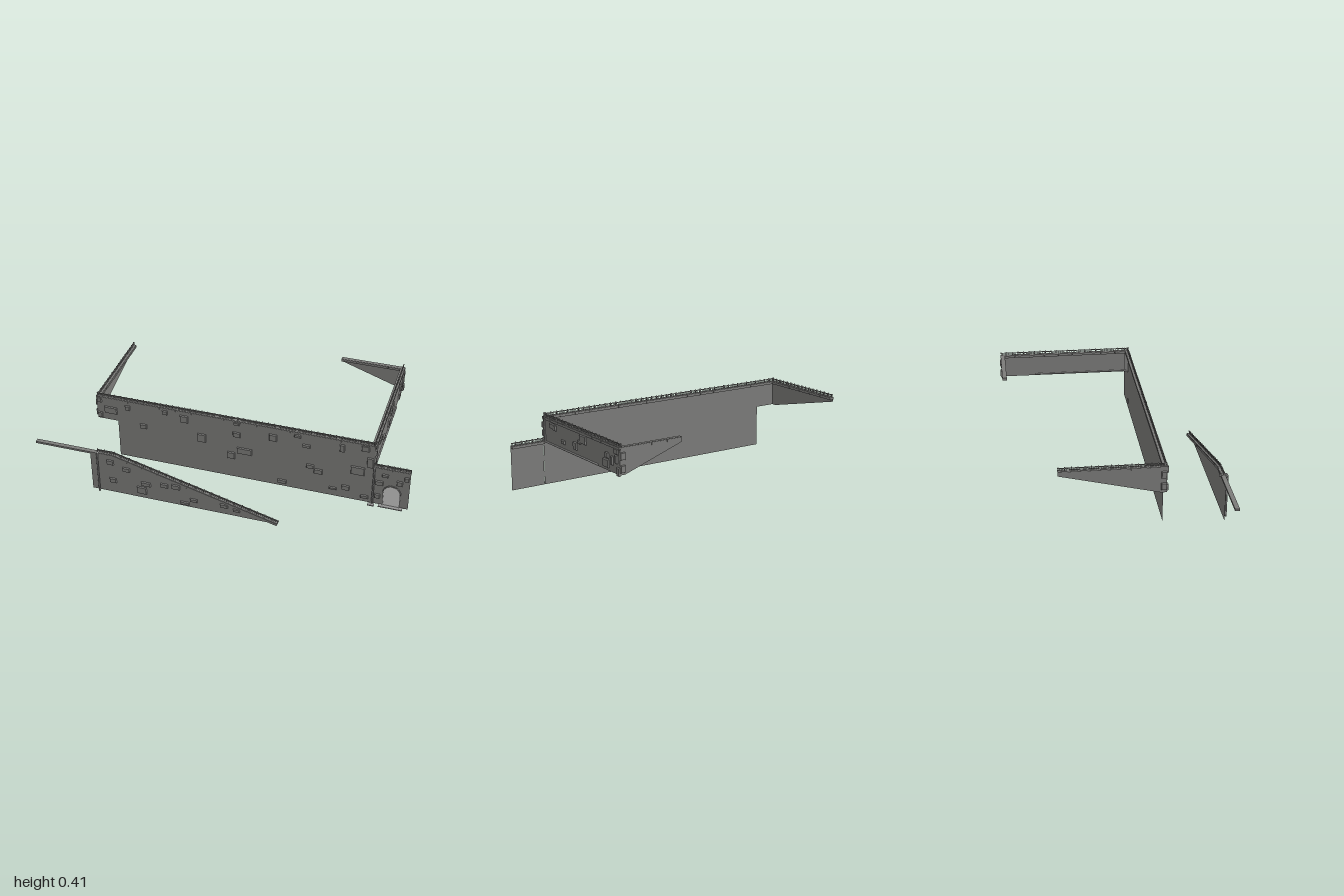
import * as THREE from 'three';
import { mergeGeometries } from 'three/addons/utils/BufferGeometryUtils.js';

function paint(name, color) {
  const m = new THREE.MeshStandardMaterial({ color, side: THREE.DoubleSide });
  m.name = name;
  return m;
}
const stone = paint('stone grey', 0x7b7b79);
const metal = paint('pipe grey', 0x949493);
const pale = paint('pale door', 0xc6c6c5);

function add(parent, name, geos, material = stone) {
  const list = [].concat(geos).map(g => (g.index ? g.toNonIndexed() : g));
  const mesh = new THREE.Mesh(list.length > 1 ? mergeGeometries(list) : list[0], material);
  mesh.name = name;
  parent.add(mesh);
}

function box(w, h, d, x, y, z) {
  return new THREE.BoxGeometry(w, h, d).translate(x, y, z);
}

// Raised block with a chamfered face, sitting on the wall plane z = 0
function block([x, y, w, h]) {
  const depth = 0.008;
  const g = new THREE.BoxGeometry(w, h, depth);
  const p = g.attributes.position;
  for (let i = 0; i < p.count; i++) {
    if (p.getZ(i) > 0) p.setXY(i, p.getX(i) - Math.sign(p.getX(i)) * 0.003, p.getY(i) - Math.sign(p.getY(i)) * 0.003);
  }
  const flat = g.toNonIndexed();
  flat.computeVertexNormals();
  return flat.translate(x, y, depth / 2 + 0.0005);
}

function panel(points) {
  return new THREE.ShapeGeometry(new THREE.Shape(points.map(p => new THREE.Vector2(...p))));
}

// Ledge of coping slabs; x runs along the wall, y = 0 is its top
function cornice(parent, length) {
  const n = Math.max(1, Math.round(length / 0.09));
  const slabs = [box(length, 0.004, 0.022, length / 2, 0, -0.009)];
  for (let i = 0; i < n; i++) {
    slabs.push(box(length / n - 0.002, 0.013, 0.026, (i + 0.5) * length / n, -0.0065, -0.009));
  }
  add(parent, 'cornice', slabs);
}

// Thin posts with a heavier one at every fourth place, under one rail
function balustrade(parent, length, pitch) {
  const count = Math.round(length / pitch);
  const posts = [box(length, 0.004, 0.005, length / 2, 0.015, -0.007)];
  for (let i = 0; i <= count; i++) {
    const big = i % 4 === 0;
    const h = big ? 0.021 : 0.014, w = big ? 0.005 : 0.002;
    posts.push(box(w, h, w, 0.003 + i * (length - 0.006) / count, h / 2, -0.007));
  }
  add(parent, 'balustrade', posts);
}

function parapet(parent, length, x, y, { tilt = 0, fenced = true, pitch = 0.0085 } = {}) {
  const g = new THREE.Group();
  g.name = 'parapet';
  g.position.set(x, y, 0);
  g.rotation.z = tilt;
  parent.add(g);
  cornice(g, length);
  if (fenced) balustrade(g, length, pitch);
}

// One straight wall, built in its own frame and turned into place
function wall(parent, name, position, turn, outline, blocks) {
  const g = new THREE.Group();
  g.name = name;
  g.position.set(...position);
  g.rotation.y = turn;
  parent.add(g);
  add(g, 'wallFace', panel(outline));
  add(g, 'raisedStones', blocks.map(block));
  return g;
}

function pipe(parent, name, points) {
  const v = points.map(p => new THREE.Vector3(...p));
  const geos = v.map(p => new THREE.SphereGeometry(0.005, 8, 6).translate(p.x, p.y, p.z));
  for (let i = 1; i < v.length; i++) {
    geos.push(new THREE.TubeGeometry(new THREE.LineCurve3(v[i - 1], v[i]), 1, 0.005, 8));
  }
  add(parent, name, geos, metal);
}

export function createModel() {
  const model = new THREE.Group();
  model.name = 'ramparts';

  // Long front wall, with its lower left corner cut away
  const frontStones = [
    [-0.69, 0.31, 0.075, 0.043], [-0.59, 0.345, 0.03, 0.03], [-0.37, 0.36, 0.032, 0.027], [-0.26, 0.34, 0.048, 0.045],
    [0.04, 0.3, 0.043, 0.032], [0.04, 0.373, 0.032, 0.02], [-0.16, 0.235, 0.048, 0.053], [0.085, 0.197, 0.085, 0.04],
    [0.01, 0.155, 0.043, 0.043], [0.245, 0.325, 0.043, 0.043], [0.38, 0.365, 0.037, 0.02], [0.43, 0.31, 0.043, 0.021],
    [0.5, 0.155, 0.048, 0.032], [0.715, 0.21, 0.075, 0.053], [0.78, 0.277, 0.036, 0.064], [0.655, 0.08, 0.043, 0.032],
    [0.76, 0.043, 0.043, 0.021], [0.585, 0.06, 0.043, 0.016], [0.75, 0.365, 0.043, 0.037], [0.455, 0.18, 0.043, 0.027],
    [0.625, 0.34, 0.027, 0.048], [0.3, 0.04, 0.05, 0.025], [-0.5, 0.24, 0.04, 0.03], [-0.755, 0.37, 0.028, 0.035],
    [-0.755, 0.27, 0.028, 0.035],
  ].map(([x, y, w, h]) => [x + 0.77, y, w, h]);
  const front = wall(model, 'frontWall', [-0.77, 0, 0.22], 0,
    [[0, 0.245], [0.12, 0.245], [0.12, 0.01], [1.573, 0.01], [1.573, 0.39], [0, 0.39]], frontStones);
  parapet(front, 1.573, 0, 0.39);

  // Right side wall
  const right = wall(model, 'rightWall', [0.803, 0, 0.222], Math.PI / 2,
    [[0, 0.25], [0.785, 0.25], [0.785, 0.39], [0, 0.39]], [
      [0.11, 0.357, 0.052, 0.028], [0.135, 0.352, 0.03, 0.03], [0.225, 0.295, 0.037, 0.022], [0.35, 0.303, 0.035, 0.042],
      [0.43, 0.353, 0.063, 0.045], [0.395, 0.333, 0.025, 0.022], [0.655, 0.285, 0.055, 0.043], [0.665, 0.328, 0.03, 0.03],
      [0.712, 0.31, 0.02, 0.046], [0.753, 0.325, 0.024, 0.043], [0.755, 0.365, 0.036, 0.03], [0.01, 0.345, 0.024, 0.035],
      [0.01, 0.3, 0.024, 0.035], [0.772, 0.265, 0.026, 0.045],
    ]);
  parapet(right, 0.785, 0, 0.39);

  // Wings whose undersides rise to a thin tip
  const back = wall(model, 'backWing', [0.803, 0, -0.56], Math.PI,
    [[0, 0.25], [0.03, 0.25], [0.365, 0.365], [0.365, 0.39], [0, 0.39]],
    [[0.015, 0.345, 0.03, 0.04], [0.015, 0.28, 0.03, 0.04]]);
  parapet(back, 0.365, 0, 0.39, { fenced: false });
  const left = wall(model, 'leftWing', [-0.77, 0, -0.33], -Math.PI / 2,
    [[0, 0.365], [0.52, 0.245], [0.55, 0.245], [0.55, 0.39], [0, 0.39]],
    [[0.535, 0.345, 0.03, 0.04], [0.535, 0.28, 0.03, 0.04]]);
  parapet(left, 0.55, 0, 0.39);

  // Gate wall with arched door, surround and doorstep
  const gate = wall(model, 'gateWall', [0.805, 0, 0.22], 0,
    [[0, 0.01], [0.195, 0.01], [0.195, 0.255], [0, 0.255]],
    [[0.03, 0.155, 0.045, 0.03], [0.14, 0.175, 0.032, 0.032], [0.025, 0.065, 0.03, 0.03],
      [0.175, 0.21, 0.025, 0.03], [0.06, 0.21, 0.035, 0.02]]);
  parapet(gate, 0.195, 0, 0.255);
  const cx = 0.102, r = 0.044, spring = 0.1;
  const arch = new THREE.Shape();
  arch.moveTo(cx - r, 0.012).lineTo(cx + r, 0.012).lineTo(cx + r, spring);
  arch.absarc(cx, spring, r, 0, Math.PI, false);
  add(gate, 'archedDoor', new THREE.ShapeGeometry(arch, 16).translate(0, 0, 0.004), pale);
  const archStones = [];
  for (let i = 0; i < 9; i++) {
    const a = (i + 0.5) * Math.PI / 9;
    archStones.push(box(0.005, 0.014, 0.008, 0, 0, 0).rotateZ(a)
      .translate(cx + Math.cos(a) * 0.047, spring + Math.sin(a) * 0.047, 0.005));
  }
  add(gate, 'archStones', archStones);
  add(gate, 'doorJambs', [-1, 1].map(s => box(0.004, 0.088, 0.007, cx + s * 0.045, 0.056, 0.0045)), pale);
  add(gate, 'doorstep', box(0.13, 0.005, 0.024, cx, 0.0125, 0.0125), metal);

  // Free-standing ramp wall with sloping parapet and level handrail
  const rampStones = [
    [-0.37, 0.107, 0.055, 0.027], [-0.395, 0.06, 0.055, 0.045], [-0.48, 0.18, 0.043, 0.027], [-0.2, 0.128, 0.048, 0.03],
    [-0.265, 0.122, 0.043, 0.027], [-0.1, 0.06, 0.043, 0.021], [0.07, 0.064, 0.043, 0.025], [0.14, 0.05, 0.04, 0.02],
    [-0.57, 0.21, 0.04, 0.03], [-0.15, 0.03, 0.05, 0.02], [-0.56, 0.09, 0.04, 0.03],
  ].map(([x, y, w, h]) => [x + 1, y, w, h]);
  const ramp = wall(model, 'rampWall', [-1, 0, 0.542], 0,
    [[0.317, 0.01], [1.365, 0.01], [0.45, 0.258], [0.317, 0.252]], rampStones);
  parapet(ramp, Math.hypot(0.92, 0.248), 0.447, 0.26, { tilt: Math.atan2(-0.248, 0.92), pitch: 0.011 });
  parapet(ramp, 0.095, 0.355, 0.26, { pitch: 0.011 });
  add(ramp, 'levelHandrail', box(0.36, 0.011, 0.024, 0.18, 0.252, -0.009));

  // Pipes
  pipe(model, 'rampPipe', [[-0.638, 0.013, 0.557], [-0.638, 0.25, 0.557], [-0.638, 0.261, 0.55],
    [-0.638, 0.261, 0.522], [-0.638, 0.25, 0.516]]);
  pipe(model, 'sidePipe', [[0.806, 0.015, 0.231], [0.806, 0.25, 0.231], [0.806, 0.257, 0.222], [0.806, 0.257, -0.35]]);
  pipe(model, 'riserPipe', [[0.806, 0.257, 0.197], [0.806, 0.4, 0.197]]);
  add(model, 'pipeFoot', box(0.035, 0.006, 0.02, 0.802, 0.013, 0.24), metal);
  return model;
}
